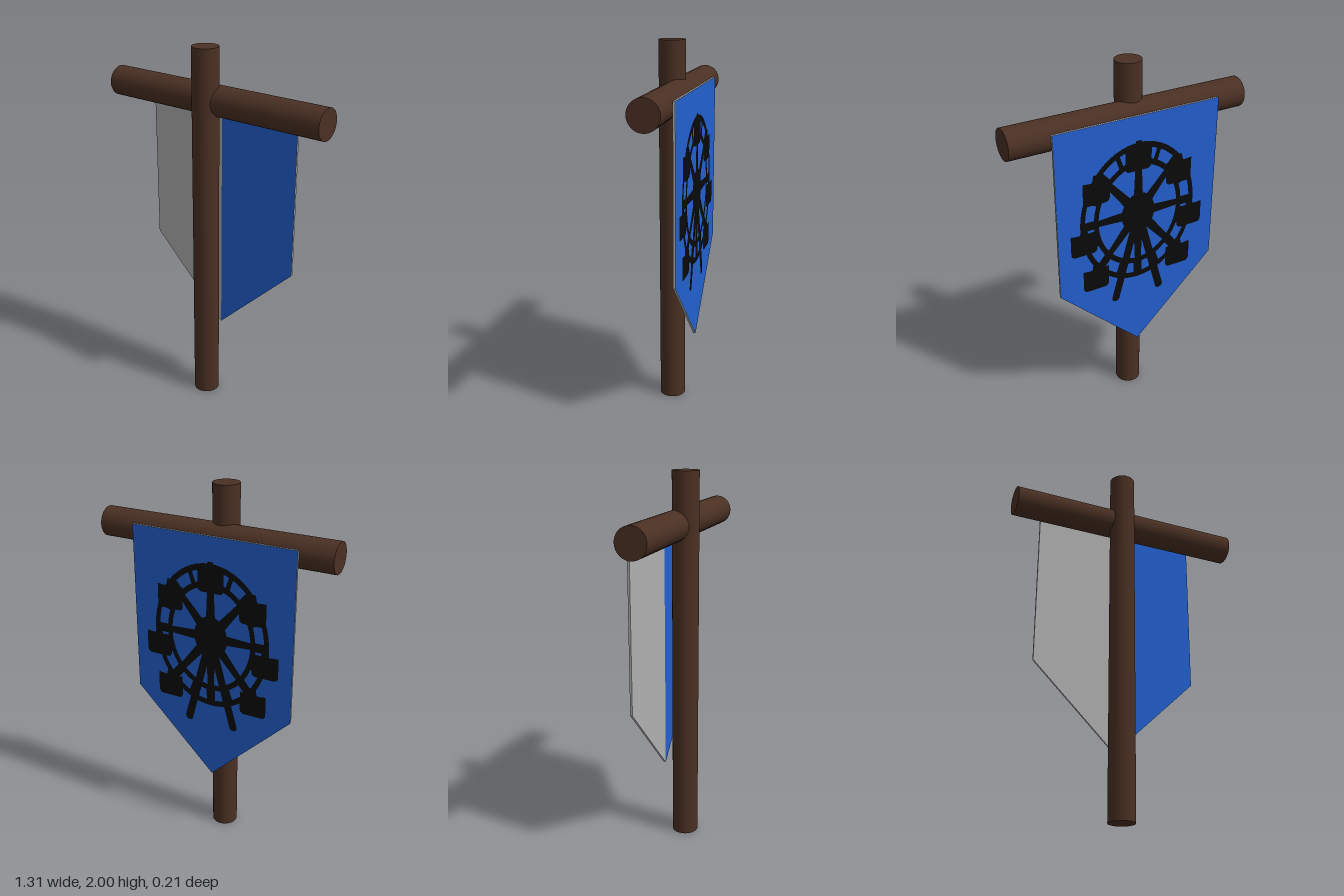
import * as THREE from 'three';

export function createModel() {
  const model = new THREE.Group();
  model.name = 'bannerPost';

  const mat = (name, color, side = THREE.FrontSide) => {
    const m = new THREE.MeshStandardMaterial({ color, side });
    m.name = name;
    return m;
  };
  const wood = mat('darkWood', 0x4a3023);
  const grey = mat('greyCloth', 0xb0b0b0);
  const blue = mat('blueCloth', 0x2360cf);
  const black = mat('blackPaint', 0x0a0a0a);

  const add = (parent, name, geometry, material, x = 0, y = 0, z = 0) => {
    const mesh = new THREE.Mesh(geometry, material);
    mesh.name = name;
    mesh.position.set(x, y, z);
    parent.add(mesh);
    return mesh;
  };
  const polygon = (pts) => new THREE.Shape(pts.map(([x, y]) => new THREE.Vector2(x, y)));

  // Round post and crossbar
  add(model, 'post', new THREE.CylinderGeometry(0.07, 0.07, 2, 40), wood, -0.03, 1, 0.033);
  const bar = add(model, 'crossbar', new THREE.CylinderGeometry(0.08, 0.08, 1.31, 40), wood, 0, 1.725, -0.008);
  bar.rotation.z = Math.PI / 2;

  // Pointed cloth, with blue facing on the whole back and half the front
  const L = -0.48, R = 0.445, MID = -0.018, TOP = 1.76, SIDE = 0.835, TIP = 0.385;
  const outline = [[L, TOP], [L, SIDE], [MID, TIP], [R, SIDE], [R, TOP]];
  add(model, 'banner', new THREE.ExtrudeGeometry(polygon(outline), { depth: 0.012, bevelEnabled: false }),
    grey, 0, 0, -0.101);
  add(model, 'bannerFrontHalf', new THREE.ShapeGeometry(polygon([[MID, TOP], [MID, TIP], [R, SIDE], [R, TOP]])),
    blue, 0, 0, -0.088);
  const back = add(model, 'bannerBack',
    new THREE.ShapeGeometry(polygon(outline.map(([x, y]) => [-x, y]))), blue, 0, 0, -0.102);
  back.rotation.y = Math.PI;

  // Ferris wheel silhouette painted on the back
  const wheel = new THREE.Group();
  wheel.name = 'wheelEmblem';
  wheel.position.set(-0.014, 1.22, -0.104);
  wheel.rotation.y = Math.PI;
  model.add(wheel);
  const RX = 0.335, RY = 0.4;
  const paint = (name, shape) => add(wheel, name, new THREE.ShapeGeometry(shape, 32), black);
  const ellipse = (s, Type) => new Type().absellipse(0, 0, RX * s, RY * s, 0, Math.PI * 2, false, 0);
  const ring = (name, outer, inner) => {
    const s = ellipse(outer, THREE.Shape);
    s.holes.push(ellipse(inner, THREE.Path));
    paint(name, s);
  };
  // Tapered stroke between two points
  const stroke = (name, x0, y0, x1, y1, w0, w1 = w0) => {
    const d = Math.hypot(x1 - x0, y1 - y0);
    const nx = -(y1 - y0) / d / 2, ny = (x1 - x0) / d / 2;
    paint(name, polygon([
      [x0 - nx * w0, y0 - ny * w0], [x1 - nx * w1, y1 - ny * w1],
      [x1 + nx * w1, y1 + ny * w1], [x0 + nx * w0, y0 + ny * w0],
    ]));
  };

  ring('outerRim', 1, 0.92);
  ring('innerRim', 0.77, 0.69);
  paint('hub', ellipse(0.29, THREE.Shape));

  for (let i = 0; i < 8; i++) {
    const a = (i * Math.PI) / 4;
    const c = Math.cos(a) * RX, s = Math.sin(a) * RY;
    stroke('spoke', c * 0.2, s * 0.2, c * 0.73, s * 0.73, 0.055, 0.035);
    stroke('rimBrace', c * 0.73, s * 0.73, c * 0.96, s * 0.96, 0.05);
    // Short ties between the rims, midway between spokes
    const b = a + Math.PI / 8;
    const p = Math.cos(b) * RX, q = Math.sin(b) * RY;
    stroke('rimTie', p * 0.73, q * 0.73, p * 0.96, q * 0.96, 0.025);
  }

  // Rounded cabins hanging round the rim
  const cabin = (x, y) => {
    const w = 0.075, h = 0.065, r = 0.028;
    const s = new THREE.Shape();
    s.moveTo(x - w, y + h);
    s.lineTo(x - w, y - h + r);
    s.quadraticCurveTo(x - w, y - h, x - w + r, y - h);
    s.lineTo(x + w - r, y - h);
    s.quadraticCurveTo(x + w, y - h, x + w, y - h + r);
    s.lineTo(x + w, y + h);
    s.quadraticCurveTo(x, y + h - 0.01, x - w, y + h);
    paint('cabin', s);
    stroke('cabinHanger', x, y, x, y + 0.1, 0.07, 0.03);
  };
  cabin(0, 0.31);
  for (const side of [-1, 1]) {
    cabin(side * 0.24, 0.18);
    cabin(side * 0.315, -0.1);
    cabin(side * 0.25, -0.335);
    // Splayed supporting legs with rounded feet
    stroke('leg', 0, 0, side * 0.135, -0.5, 0.045);
    paint('foot', new THREE.Shape().absarc(side * 0.135, -0.5, 0.0225, 0, Math.PI * 2, false));
  }

  return model;
}
